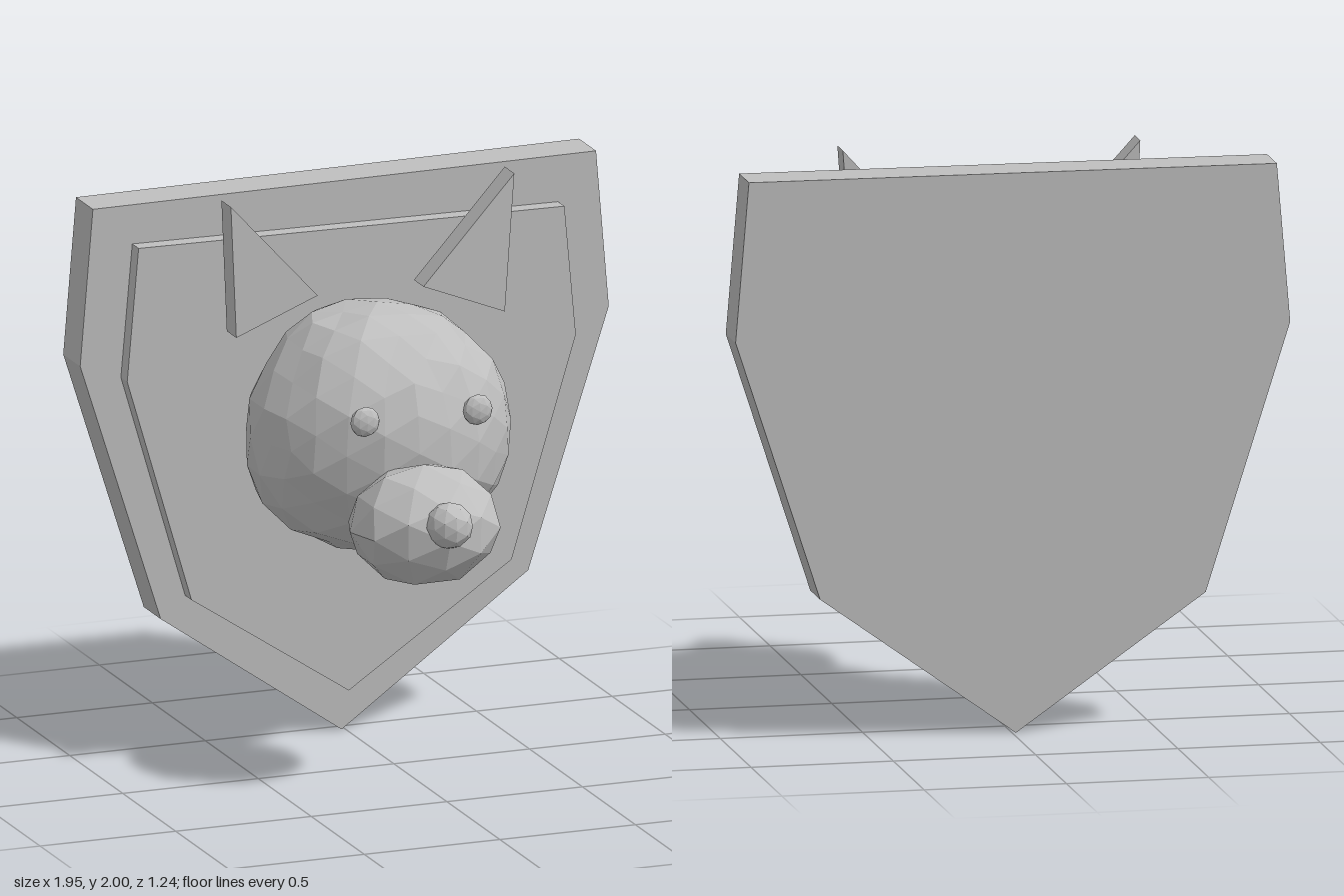
import * as THREE from 'three';
import { mergeVertices } from 'three/addons/utils/BufferGeometryUtils.js';

const grey = new THREE.MeshStandardMaterial({ color: 0xbfbfbf, flatShading: true });
grey.name = 'plain grey';

// Flat outline given thickness from zBack to zFront
function slab(name, points, zBack, zFront) {
  const shape = new THREE.Shape(points.map(([x, y]) => new THREE.Vector2(x, y)));
  const geo = new THREE.ExtrudeGeometry(shape, { depth: zFront - zBack, bevelEnabled: false });
  geo.translate(0, 0, zBack);
  const mesh = new THREE.Mesh(geo, grey);
  mesh.name = name;
  return mesh;
}

// Faceted ellipsoid, roughened by a seeded jitter; taper widens its lower half
function blob(name, centre, radii, detail, rough, seed, taper = 0) {
  let geo = new THREE.IcosahedronGeometry(1, detail);
  geo.deleteAttribute('normal');
  geo.deleteAttribute('uv');
  geo = mergeVertices(geo, 1e-3);
  const rand = () => {
    seed = (seed * 16807) % 2147483647;
    return seed / 2147483647 - 0.5;
  };
  const p = geo.attributes.position;
  const v = new THREE.Vector3();
  for (let i = 0; i < p.count; i++) {
    v.fromBufferAttribute(p, i);
    v.x *= 1 - taper * v.y;
    v.multiplyScalar(1 + rough * rand());
    p.setXYZ(i, v.x * radii[0], v.y * radii[1], v.z * radii[2]);
  }
  geo.computeVertexNormals();
  const mesh = new THREE.Mesh(geo, grey);
  mesh.name = name;
  mesh.position.set(...centre);
  return mesh;
}

export function createModel() {
  const model = new THREE.Group();
  model.name = 'mountedHead';

  // Shield-shaped wall plaque with a raised inner panel
  model.add(slab('plaque', [
    [-0.93, 1.957], [0.925, 1.97], [0.972, 1.41], [0.675, 0.497],
    [-0.013, 0], [-0.68, 0.465], [-0.977, 1.4],
  ], -0.62, -0.46));
  model.add(slab('innerPanel', [
    [-0.785, 1.818], [0.785, 1.803], [0.827, 1.34], [0.59, 0.56],
    [-0.01, 0.155], [-0.59, 0.54], [-0.827, 1.345],
  ], -0.46, -0.4));

  // Head, muzzle and nose
  model.add(blob('head', [0.005, 1.17, -0.17], [0.47, 0.445, 0.405], 3, 0.055, 17, 0.06));
  model.add(blob('muzzle', [-0.015, 0.945, 0.32], [0.27, 0.21, 0.25], 1, 0.04, 41));
  model.add(blob('nose', [-0.008, 1.0, 0.545], [0.083, 0.083, 0.076], 1, 0.04, 77));

  // Thin disc-like eyes
  model.add(blob('rightEye', [-0.208, 1.315, 0.26], [0.054, 0.054, 0.027], 1, 0, 5));
  model.add(blob('leftEye', [0.207, 1.315, 0.26], [0.055, 0.055, 0.027], 1, 0, 5));

  // Pointed ears
  model.add(slab('rightEar', [[-0.52, 1.99], [-0.5, 1.52], [-0.2, 1.64]], -0.297, -0.207));
  model.add(slab('leftEar', [[0.525, 2.0], [0.49, 1.51], [0.19, 1.63]], -0.297, -0.207));

  return model;
}
